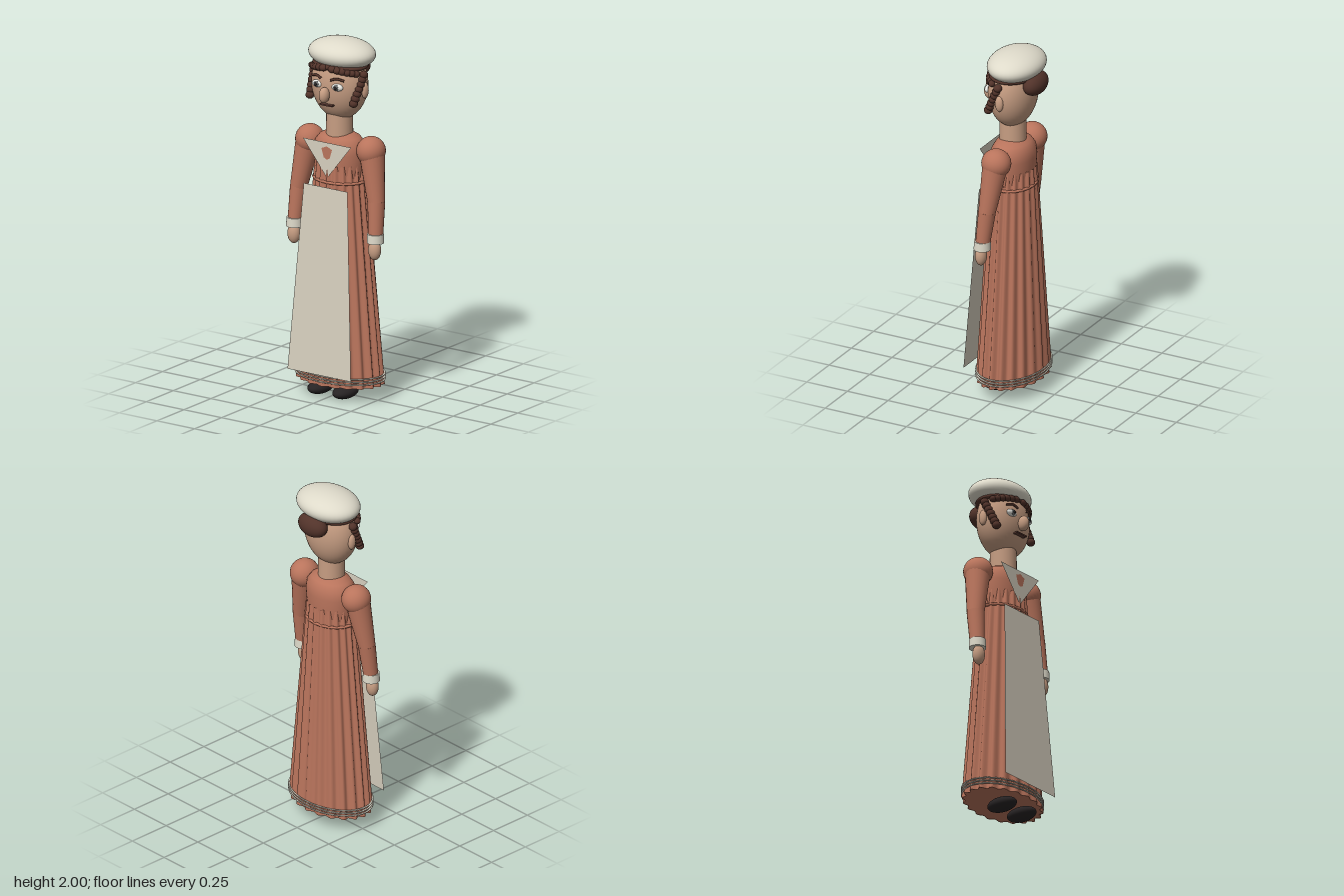
import * as THREE from 'three';

const paint = (name, color, double) => {
  const m = new THREE.MeshStandardMaterial({ color });
  m.name = name;
  if (double) m.side = THREE.DoubleSide;
  return m;
};

export function createModel() {
  const model = new THREE.Group();
  model.name = 'woman';
  const dress = paint('dress terracotta', 0xb9745c, true);
  const cream = paint('cap cream', 0xdedaca);
  const linen = paint('apron linen', 0xd6cfbe, true);
  const skin = paint('skin', 0xc69d82);
  const hair = paint('hair brown', 0x52332a);
  const black = paint('shoe black', 0x272324);
  const white = paint('eye white', 0xe6e6e0);
  const iris = paint('iris grey', 0x6c6f70);
  const lip = paint('mouth brown', 0x5a3a32);

  const add = (name, geo, mat, pos = [0, 0, 0], parent = model) => {
    const mesh = new THREE.Mesh(geo, mat);
    mesh.name = name;
    mesh.position.set(...pos);
    parent.add(mesh);
    return mesh;
  };
  const ball = (name, mat, pos, r, seg = 28) =>
    add(name, new THREE.SphereGeometry(1, seg, Math.round(seg * 0.7)).scale(...r), mat, pos);
  // Elliptical horizontal ring
  const ring = (name, mat, y, rx, rz, tube) =>
    add(name, new THREE.TorusGeometry(1, tube / rz, 8, 72).rotateX(Math.PI / 2)
      .scale(rx, tube / (tube / rz), rz), mat, [0, y, 0]);
  // Tapered limb between two points
  const limb = (name, mat, a, b, ra, rb) => {
    const A = new THREE.Vector3(...a), B = new THREE.Vector3(...b);
    const dir = B.clone().sub(A);
    const m = add(name, new THREE.CylinderGeometry(rb, ra, dir.length(), 20), mat);
    m.position.copy(A).add(B).multiplyScalar(0.5);
    m.quaternion.setFromUnitVectors(new THREE.Vector3(0, 1, 0), dir.normalize());
  };
  const plate = (name, mat, pts, z) =>
    add(name, new THREE.ShapeGeometry(new THREE.Shape(pts.map(p => new THREE.Vector2(...p)))), mat, [0, 0, z]);

  // Fluted skirt: a cylinder whose radius ripples and widens downward
  const skirtGeo = new THREE.CylinderGeometry(1, 1, 1.23, 160, 10, true);
  const p = skirtGeo.attributes.position;
  for (let i = 0; i < p.count; i++) {
    const y = p.getY(i) + 0.695, t = (1.31 - y) / 1.23;
    const a = Math.atan2(p.getX(i), p.getZ(i));
    const ripple = 0.95 + 0.045 * Math.cos(20 * a);
    p.setXYZ(i, Math.sin(a) * (0.148 + 0.123 * t) * ripple, y, Math.cos(a) * (0.122 + 0.06 * t) * ripple);
  }
  skirtGeo.computeVertexNormals();
  add('skirt', skirtGeo, dress);
  const hem = [];
  for (let i = 0; i < 160; i++) {
    const a = i / 160 * Math.PI * 2, r = 0.95 + 0.045 * Math.cos(20 * a);
    hem.push(new THREE.Vector2(Math.sin(a) * 0.271 * r, Math.cos(a) * 0.182 * r));
  }
  add('skirtUnderside', new THREE.ShapeGeometry(new THREE.Shape(hem)).rotateX(Math.PI / 2), dress, [0, 0.082, 0]);
  for (const y of [0.105, 0.121, 0.137]) ring('hemBand', cream, y, 0.267, 0.181, 0.004);
  ring('waistBand', dress, 1.215, 0.152, 0.12, 0.008);

  // Bodice
  const profile = [[0.13, 1.16], [0.142, 1.22], [0.148, 1.3], [0.154, 1.37], [0.147, 1.42],
    [0.12, 1.455], [0.075, 1.478], [0, 1.485]].map(q => new THREE.Vector2(...q));
  add('bodice', new THREE.LatheGeometry(profile, 40).scale(1, 1, 0.76), dress);

  // Kerchief with its small clasp, and the apron
  plate('kerchief', linen, [[-0.16, 1.44], [0, 1.24], [0.16, 1.44]], 0.122);
  plate('kerchiefClasp', dress, [[-0.035, 1.405], [-0.02, 1.355], [0, 1.345], [0.02, 1.355], [0.035, 1.405], [0, 1.42]], 0.125);
  const apron = plate('apron', linen, [[-0.145, 1.19], [-0.21, 0.145], [0.21, 0.145], [0.145, 1.19]], 0);
  const ap = apron.geometry.attributes.position;
  for (let i = 0; i < ap.count; i++) ap.setZ(i, ap.getY(i) > 1 ? 0.135 : 0.195);
  apron.geometry.computeVertexNormals();

  // Neck, head, nose and mouth
  add('neck', new THREE.CylinderGeometry(0.072, 0.074, 0.16, 28), skin, [0, 1.53, 0.005]);
  ball('head', skin, [0, 1.755, 0.003], [0.166, 0.205, 0.128], 40);
  ball('nose', skin, [0, 1.715, 0.148], [0.028, 0.044, 0.032]);
  add('mouth', new THREE.BoxGeometry(0.08, 0.008, 0.03), lip, [0, 1.655, 0.123]);

  // Hair under the cap, bun at the back, and cap
  ball('hairBand', hair, [0, 1.86, -0.004], [0.164, 0.034, 0.13]);
  ball('bun', hair, [0, 1.825, -0.133], [0.098, 0.066, 0.06]);
  ball('cap', cream, [0, 1.917, -0.018], [0.198, 0.083, 0.15], 40);

  for (const s of [-1, 1]) {
    // Eye and brow
    ball('eye', white, [s * 0.065, 1.763, 0.118], [0.036, 0.021, 0.018], 20);
    ball('iris', iris, [s * 0.065, 1.763, 0.13], [0.017, 0.017, 0.01], 16);
    ball('pupil', black, [s * 0.065, 1.763, 0.138], [0.009, 0.009, 0.006], 12);
    const brow = new THREE.CatmullRomCurve3([[0.03, 1.8, 0.132], [0.065, 1.812, 0.126], [0.105, 1.802, 0.108]]
      .map(([x, y, z]) => new THREE.Vector3(s * x, y, z)));
    add('eyebrow', new THREE.TubeGeometry(brow, 10, 0.007, 8), hair);
    ball('ear', skin, [s * 0.165, 1.735, 0], [0.018, 0.045, 0.024], 20);

    // Curls along the forehead and a ringlet beside each cheek
    for (let i = 0; i < 6; i++) {
      const a = 0.18 + i * 0.18;
      ball('foreheadCurl', hair, [s * 0.162 * Math.sin(a), 1.857 - i * 0.004, 0.118 * Math.cos(a)], [0.025, 0.019, 0.02], 16);
    }
    for (let i = 0; i < 7; i++) {
      const t = i / 6;
      ball('ringletCurl', hair, [s * (0.163 - 0.018 * t), 1.825 - 0.15 * t, 0.01 + 0.068 * t], [0.024, 0.022, 0.024], 16);
    }

    // Puffed shoulder, sleeve, cuff and hand
    ball('puffSleeve', dress, [s * 0.203, 1.4, -0.003], [0.079, 0.08, 0.082]);
    limb('upperSleeve', dress, [s * 0.21, 1.39, 0], [s * 0.258, 1.12, 0.025], 0.07, 0.047);
    limb('lowerSleeve', dress, [s * 0.257, 1.13, 0.024], [s * 0.268, 0.935, 0.045], 0.048, 0.04);
    add('cuff', new THREE.CylinderGeometry(0.045, 0.047, 0.05, 24), cream, [s * 0.268, 0.931, 0.047]);
    ball('hand', skin, [s * 0.268, 0.866, 0.055], [0.037, 0.057, 0.032], 20);

    ball('shoe', black, [s * 0.083, 0.037, 0.066], [0.057, 0.037, 0.093]);
  }
  return model;
}
